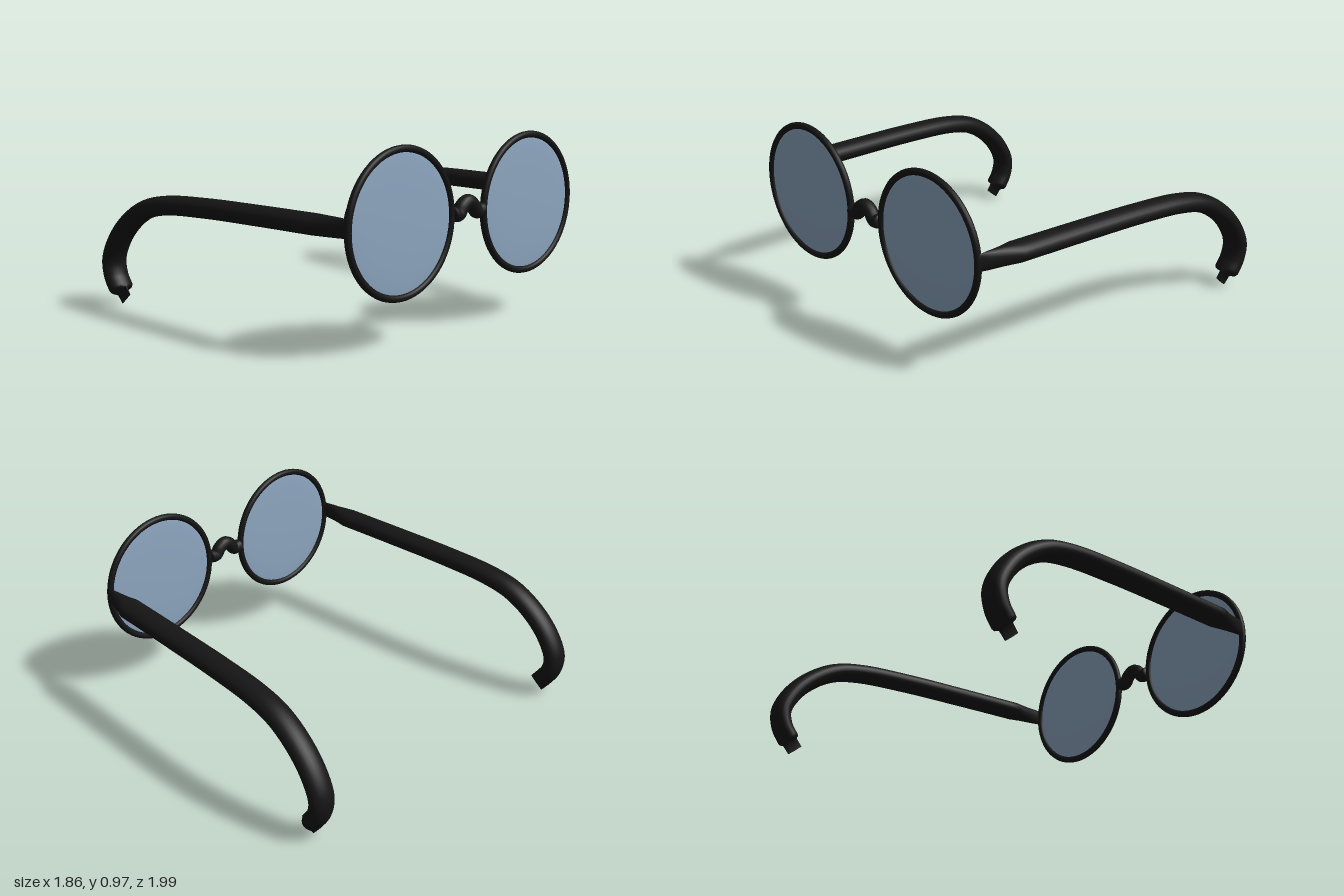
import * as THREE from 'three';

const black = new THREE.MeshStandardMaterial({ color: 0x151515, side: THREE.DoubleSide });
const glass = new THREE.MeshStandardMaterial({ color: 0x8fa8c2, side: THREE.DoubleSide });
const FACE_X = 0.89;
const LENS_Y = 0.617;

function add(parent, name, geometry, material) {
  const mesh = new THREE.Mesh(geometry, material);
  mesh.name = name;
  parent.add(mesh);
  return mesh;
}

// Elliptical sweep along stations [x, y, half height, half width]; z follows zAt(x)
function sweep(stations, zAt, sides = 24) {
  const pos = [], index = [];
  stations.forEach(([x, y, h, w], i) => {
    const a = stations[Math.max(i - 1, 0)], b = stations[Math.min(i + 1, stations.length - 1)];
    const t = new THREE.Vector2(b[0] - a[0], b[1] - a[1]).normalize();
    for (let j = 0; j < sides; j++) {
      const ang = (j / sides) * Math.PI * 2, c = Math.cos(ang) * h;
      pos.push(x + t.y * c, y - t.x * c, zAt(x) + Math.sin(ang) * w);
    }
  });
  for (let i = 0; i < stations.length - 1; i++) {
    for (let j = 0; j < sides; j++) {
      const a = i * sides + j, b = i * sides + (j + 1) % sides;
      index.push(a, a + sides, b, b, a + sides, b + sides);
    }
  }
  const g = new THREE.BufferGeometry();
  g.setAttribute('position', new THREE.Float32BufferAttribute(pos, 3));
  g.setIndex(index);
  g.computeVertexNormals();
  return g;
}

// Hinge taper, long arm hooking down behind the ear, thin pointed tip
function templeStations() {
  const curve = new THREE.CatmullRomCurve3([
    [0.68, 0.634], [0.3, 0.63], [-0.1, 0.622], [-0.4, 0.603], [-0.57, 0.565], [-0.71, 0.485],
    [-0.82, 0.375], [-0.879, 0.255], [-0.865, 0.165], [-0.825, 0.103],
  ].map(([x, y]) => new THREE.Vector3(x, y, 0)), false, 'centripetal');
  return [
    [0.9, 0.637, 0.001, 0.001], [0.89, 0.637, 0.045, 0.006], [0.84, 0.636, 0.048, 0.022],
    [0.76, 0.635, 0.05, 0.042],
    ...curve.getPoints(60).map((p) => [p.x, p.y, 0.051, 0.071]),
    [-0.817, 0.093, 0.051, 0.06], [-0.812, 0.087, 0.051, 0.013],
    [-0.779, 0.047, 0.05, 0.003], [-0.778, 0.046, 0.001, 0.001],
  ];
}

export function createModel() {
  const group = new THREE.Group();
  group.name = 'spectacles';

  // Round rims with thin, slightly domed lenses
  for (const [side, z] of [['Near', 0.526], ['Far', -0.428]]) {
    const eye = new THREE.Group();
    eye.name = 'eyepiece' + side;
    eye.position.set(FACE_X, LENS_Y, z);
    eye.rotation.set(0, Math.PI / 2, 0);
    add(eye, 'rim', new THREE.TorusGeometry(0.353, 0.018, 14, 72), black);
    const lens = new THREE.SphereGeometry(0.348, 56, 24);
    lens.rotateX(Math.PI / 2);
    lens.scale(1, 1, 0.03);
    add(eye, 'lens', lens, glass);
    group.add(eye);
  }

  // Arched nose bridge
  const arch = [[0.155, 0.62], [0.118, 0.617], [0.09, 0.652], [0.05, 0.672],
    [0.01, 0.652], [-0.02, 0.617], [-0.057, 0.62]];
  const path = new THREE.CatmullRomCurve3(arch.map(([z, y]) => new THREE.Vector3(FACE_X, y, z)));
  add(group, 'bridge', new THREE.TubeGeometry(path, 40, 0.037, 16), black);
  for (const [z, y] of [arch[0], arch[arch.length - 1]]) {
    const end = add(group, 'bridgeEnd', new THREE.SphereGeometry(0.037, 16, 12), black);
    end.position.set(FACE_X, y, z);
    end.scale.z = 0.4;
  }

  // Temples, splayed by different amounts
  const stations = templeStations();
  for (const [side, z, slope] of [['Near', 0.885, -0.0235], ['Far', -0.81, 0.077]]) {
    add(group, 'temple' + side, sweep(stations, (x) => z + (x - 0.68) * slope), black);
  }
  return group;
}
